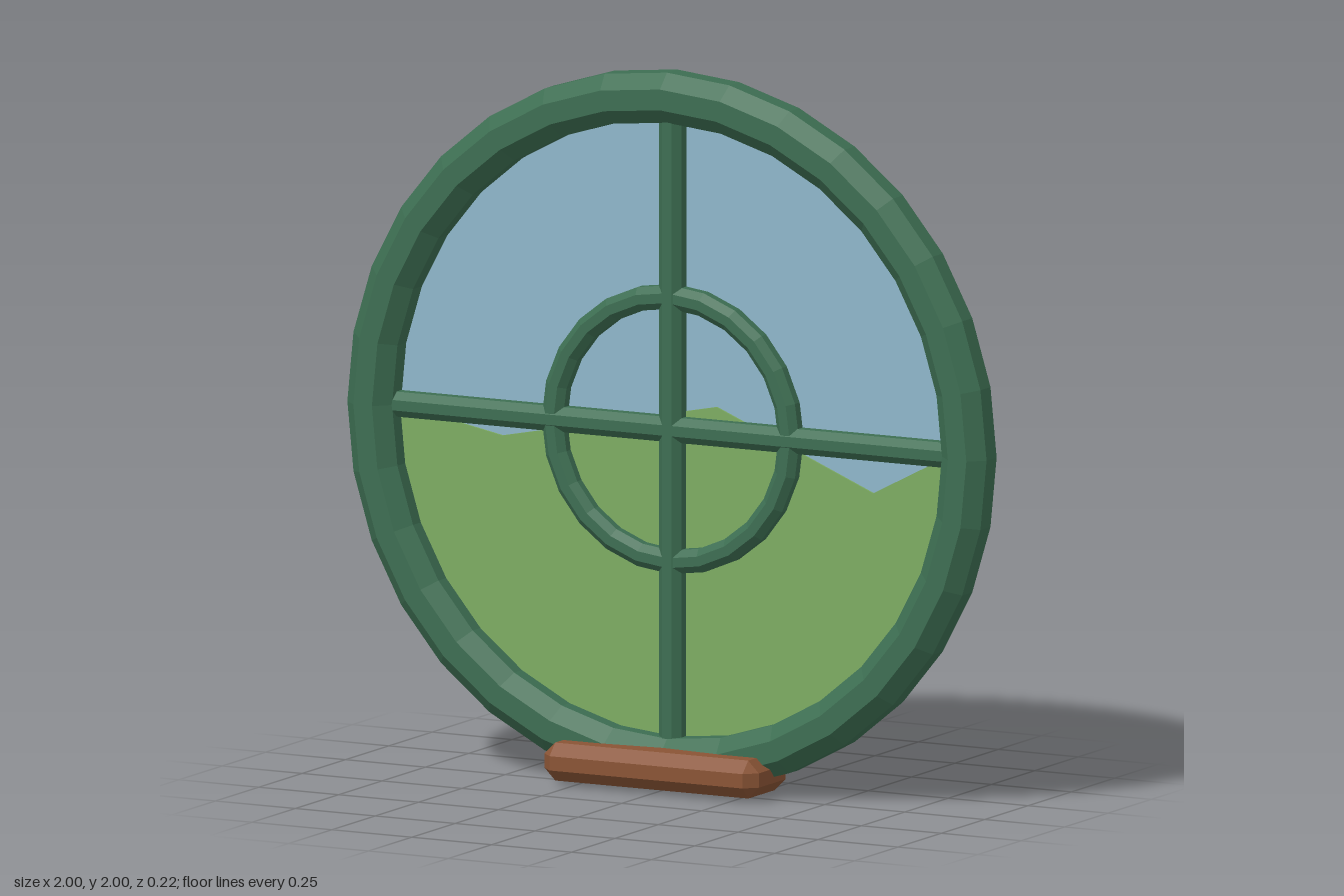
import * as THREE from 'three';
import { ConvexGeometry } from 'three/addons/geometries/ConvexGeometry.js';

const CY = 1;        // height of the window centre
const Z = -0.04;     // middle plane of the frame

// ring with an octagonal section whose flats face front, back, in and out
function octagonRing(radius, apothem, segments) {
  const r = apothem / Math.cos(Math.PI / 8);
  const profile = [];
  for (let i = 0; i <= 8; i++) {
    const a = (i + 0.5) * Math.PI / 4;
    profile.push(new THREE.Vector2(radius + r * Math.cos(a), r * Math.sin(a)));
  }
  return new THREE.LatheGeometry(profile, segments).rotateX(Math.PI / 2);
}

// straight octagonal bar along y
function octagonBar(length, apothem) {
  const r = apothem / Math.cos(Math.PI / 8);
  return new THREE.CylinderGeometry(r, r, length, 8).rotateY(Math.PI / 8);
}

// box with every edge and corner cut
function chamferBox(w, h, d, c) {
  const points = [];
  for (const sx of [-1, 1]) for (const sy of [-1, 1]) for (const sz of [-1, 1]) {
    const x = w / 2, y = h / 2, z = d / 2;
    points.push(
      new THREE.Vector3(sx * x, sy * (y - c), sz * (z - c)),
      new THREE.Vector3(sx * (x - c), sy * y, sz * (z - c)),
      new THREE.Vector3(sx * (x - c), sy * (y - c), sz * z));
  }
  return new ConvexGeometry(points);
}

export function createModel() {
  const model = new THREE.Group();
  model.name = 'roundWindow';

  const material = (name, color) => {
    const m = new THREE.MeshStandardMaterial({ color, flatShading: true });
    m.name = name;
    return m;
  };
  const green = material('frameGreen', 0x3d6e52);
  const sky = material('skyBlue', 0x8fb7cb);
  const grass = material('grassGreen', 0x7dac62);
  const wood = material('sillBrown', 0x8a5435);

  const add = (name, geometry, mat, x, y, z) => {
    const mesh = new THREE.Mesh(geometry, mat);
    mesh.name = name;
    mesh.position.set(x, y, z);
    model.add(mesh);
    return mesh;
  };

  // frame, inner ring and crossing bars
  add('outerFrame', octagonRing(0.93, 0.07, 32), green, 0, CY, Z);
  add('innerRing', octagonRing(0.37, 0.033, 24), green, 0, CY, Z - 0.005);
  add('verticalBar', octagonBar(1.74, 0.035), green, 0, CY, Z - 0.005);
  add('horizontalBar', octagonBar(1.74, 0.035).rotateZ(Math.PI / 2), green, 0, CY, Z - 0.005);

  // sky pane
  add('skyPane', new THREE.CylinderGeometry(0.87, 0.87, 0.02, 48).rotateX(Math.PI / 2), sky, 0, CY, -0.072);

  // hills: ridge line from right to left, closed by the lower arc
  const hills = new THREE.Shape();
  hills.moveTo(0.86, -0.005);
  for (const [x, y] of [[0.62, -0.13], [0.13, 0.07], [-0.54, -0.065], [-0.86, -0.005]]) hills.lineTo(x, y);
  for (let i = 1; i < 32; i++) {
    const a = Math.PI * (1 + i / 32);
    hills.lineTo(0.86 * Math.cos(a), 0.86 * Math.sin(a));
  }
  add('hills', new THREE.ExtrudeGeometry(hills, { depth: 0.006, bevelEnabled: false }), grass, 0, CY, -0.062);

  // sill
  add('sill', chamferBox(0.67, 0.106, 0.22, 0.033), wood, 0, 0.065, 0);

  return model;
}
